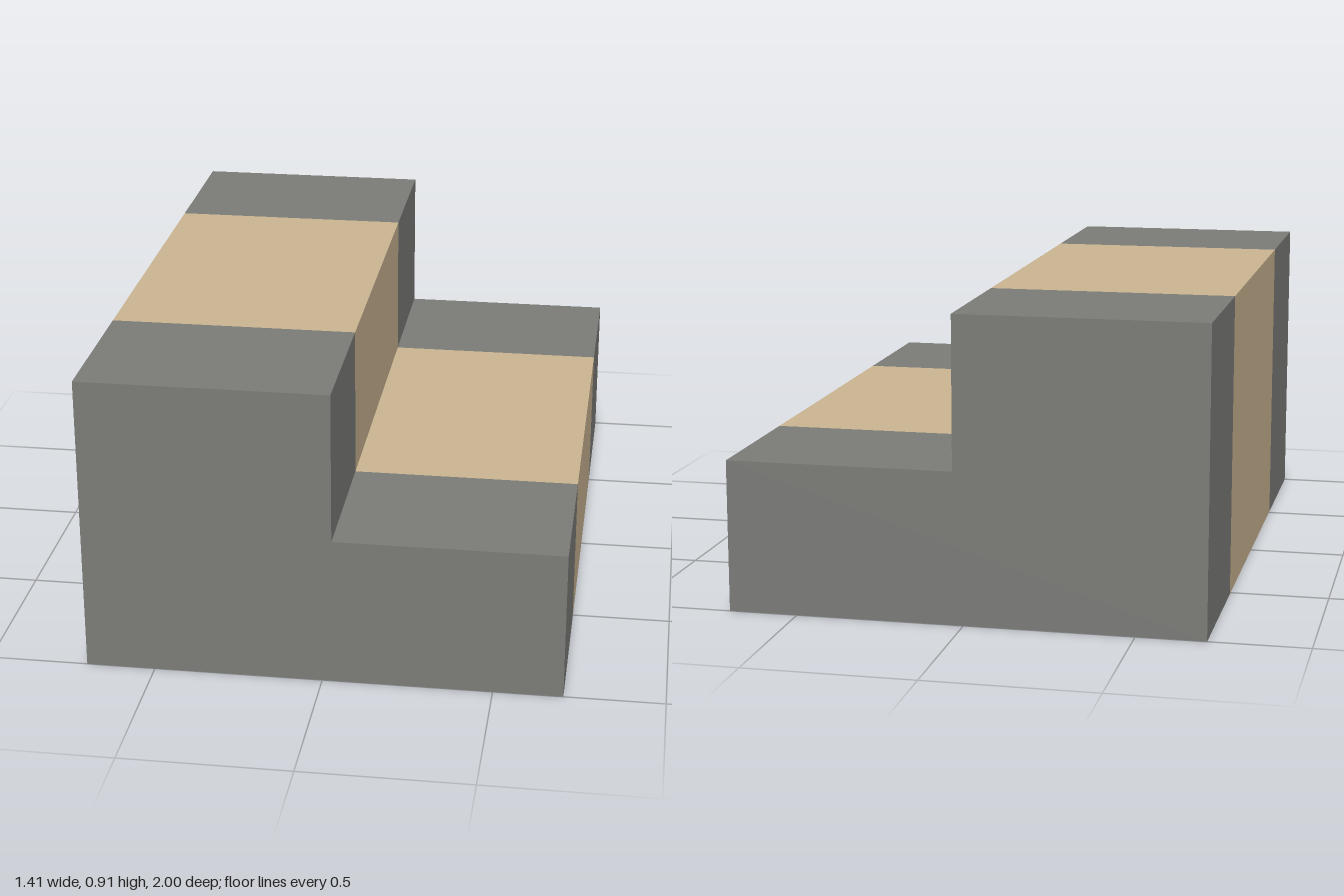
import * as THREE from 'three';

const L_PROFILE = [[-0.705, 0], [0.705, 0], [0.705, 0.453], [0.03, 0.453], [0.03, 0.906], [-0.705, 0.906]];

// Extrudes the step profile from z0 to z1, keeping only the end caps that lie outside
function section(name, z0, z1, material, backCap, frontCap) {
  const shape = new THREE.Shape(L_PROFILE.map(([x, y]) => new THREE.Vector2(x, y)));
  const full = new THREE.ExtrudeGeometry(shape, { depth: z1 - z0, bevelEnabled: false });
  const [caps, sides] = full.groups;
  const half = caps.count / 2;
  const ranges = [[sides.start, sides.count]];
  if (backCap) ranges.push([caps.start, half]);
  if (frontCap) ranges.push([caps.start + half, half]);

  const source = full.attributes.position.array;
  const kept = ranges.flatMap(([start, count]) => [...source.slice(start * 3, (start + count) * 3)]);
  const geometry = new THREE.BufferGeometry();
  geometry.setAttribute('position', new THREE.Float32BufferAttribute(kept, 3));
  geometry.translate(0, 0, z0);
  geometry.computeVertexNormals();

  const mesh = new THREE.Mesh(geometry, material);
  mesh.name = name;
  return mesh;
}

export function createModel() {
  const stone = new THREE.MeshStandardMaterial({ name: 'grey stone', color: 0x7b7c78 });
  const sand = new THREE.MeshStandardMaterial({ name: 'tan sand', color: 0xcab491 });

  const group = new THREE.Group();
  group.name = 'steps';
  group.add(
    section('frontStepEnd', 0.515, 1, stone, false, true),
    section('middleSteps', -0.515, 0.515, sand, false, false),
    section('backStepEnd', -1, -0.515, stone, true, false),
  );
  return group;
}
